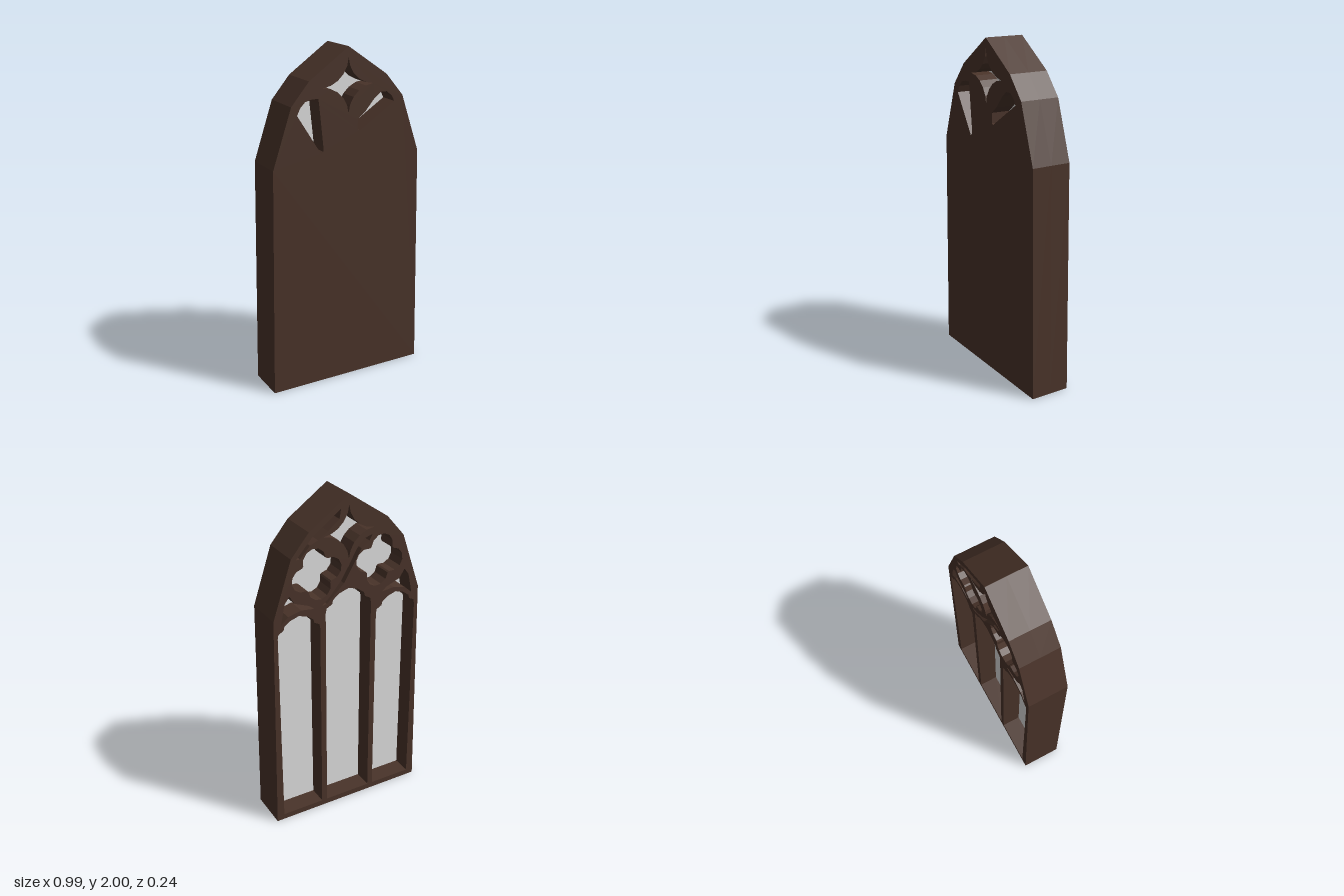
import * as THREE from 'three';

const poly = (pts) => pts.map(([x, y]) => new THREE.Vector2(x, y));
const mirror = (pts) => pts.map(([x, y]) => [-x, y]);

// Pointed arch silhouette, right half from sill to apex
const HALF = [[0.495, 0], [0.47, 1.36], [0.355, 1.7], [0.245, 1.83]];
const OUTLINE = [...HALF, [0, 2], ...mirror(HALF).reverse()];

// Four-pointed star with concave sides
function star() {
  const cy = 1.785, rx = 0.16, ry = 0.155, pts = [];
  const signs = [[1, 1], [-1, 1], [-1, -1], [1, -1]];
  signs.forEach(([sx, sy], q) => {
    for (let i = 0; i < 5; i++) {
      const t = (q % 2 ? 5 - i : i) / 5 * Math.PI / 2;
      pts.push([sx * rx * (1 - Math.sin(t) * 0.93 - 0.07 * t / (Math.PI / 2)),
        cy + sy * ry * (1 - Math.cos(t) * 0.93 - 0.07 * (1 - t / (Math.PI / 2)))]);
    }
  });
  return pts;
}

// Slightly tilted four-lobed opening
function quatrefoil() {
  const pts = [];
  for (let k = 0; k < 4; k++) {
    const a = (80 + 90 * k) * Math.PI / 180;
    for (let i = -3; i <= 3; i++) {
      const b = a + i * 0.56;
      pts.push([0.2 + 0.085 * Math.cos(a) + 0.07 * Math.cos(b),
        1.58 + 0.085 * Math.sin(a) + 0.07 * Math.sin(b)]);
    }
  }
  return pts;
}

// Tall light with a cusped head
function lancet(x0, x1, spring, apex) {
  const head = [[1, 0], [0.98, 0.25], [0.86, 0.4], [0.84, 0.6], [0.7, 0.85]];
  const full = [...head, [0.5, 1], ...head.map(([u, v]) => [1 - u, v]).reverse()];
  return [[x0, 0.035], [x1, 0.035],
    ...full.map(([u, v]) => [x0 + u * (x1 - x0), spring + v * (apex - spring)])];
}

// Extruded slab with openings between two depths
function slab(name, outline, holes, z0, z1, material) {
  const shape = new THREE.Shape(poly(outline));
  for (const h of holes) shape.holes.push(new THREE.Path(poly(h)));
  const geo = new THREE.ExtrudeGeometry(shape, { depth: z1 - z0, bevelEnabled: false });
  geo.translate(0, 0, z0);
  const mesh = new THREE.Mesh(geo, material);
  mesh.name = name;
  return mesh;
}

export function createModel() {
  const wood = new THREE.MeshStandardMaterial({ color: 0x4a342a });
  wood.name = 'darkBrown';
  const glass = new THREE.MeshStandardMaterial({ color: 0xe0e0e0 });
  glass.name = 'paleGlass';

  const group = new THREE.Group();
  group.name = 'archedWindow';

  // Front: mostly closed, with a star and two odd-shaped openings
  const leftDrop = [[-0.32, 1.65], [-0.3, 1.69], [-0.27, 1.72], [-0.23, 1.73], [-0.19, 1.73],
    [-0.185, 1.7], [-0.16, 1.46], [-0.16, 1.43], [-0.175, 1.42]];
  const rightDrop = [[0.06, 1.53], [0.075, 1.525], [0.3, 1.67], [0.285, 1.7], [0.25, 1.73],
    [0.21, 1.73], [0.17, 1.7], [0.11, 1.63], [0.06, 1.59]];
  group.add(slab('frontPanel', OUTLINE, [star(), leftDrop, rightDrop], 0, 0.12, wood));

  // Back: three lights, tracery and the small openings between them
  const sideLight = lancet(0.183, 0.448, 1.25, 1.36);
  const lowSpandrel = [[0.425, 1.33], [0.4, 1.45], [0.37, 1.49], [0.34, 1.44], [0.25, 1.405],
    [0.22, 1.38], [0.3, 1.39], [0.38, 1.37]];
  const topSpandrel = [[0.325, 1.69], [0.225, 1.8], [0.05, 1.925], [0.06, 1.87],
    [0.13, 1.815], [0.19, 1.775], [0.24, 1.755], [0.3, 1.69]];
  const diagonalSlit = [[-0.15, 1.745], [-0.1, 1.73], [-0.05, 1.68], [0, 1.59], [0.05, 1.51],
    [0.12, 1.43], [0.17, 1.385], [0.14, 1.39], [0.03, 1.49], [-0.035, 1.6],
    [-0.08, 1.675], [-0.13, 1.71]];
  const backHoles = [lancet(-0.148, 0.148, 1.33, 1.455), star(), topSpandrel, diagonalSlit];
  for (const h of [sideLight, lowSpandrel, quatrefoil()]) backHoles.push(h, mirror(h));
  group.add(slab('backTracery', OUTLINE, backHoles, -0.12, 0, wood));

  // Glass pane held between the two halves
  const pane = OUTLINE.map(([x, y]) => [x * 0.97, 0.02 + y * 0.98]);
  group.add(slab('glassPane', pane, [], -0.004, 0.004, glass));
  return group;
}
